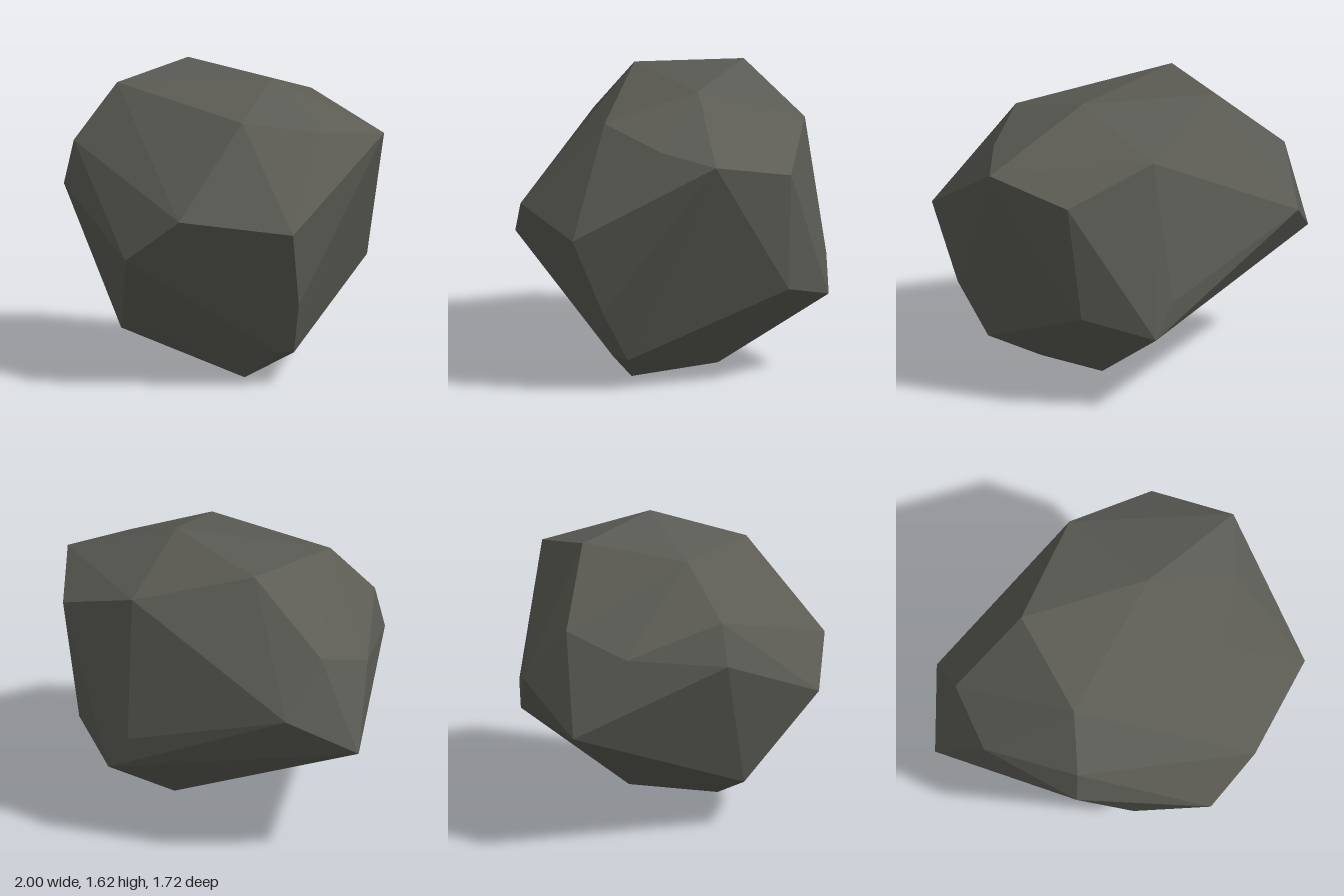
import * as THREE from 'three';
import { ConvexGeometry } from 'three/addons/geometries/ConvexGeometry.js';

export function createModel() {
  const group = new THREE.Group();
  group.name = 'boulder';

  const stone = new THREE.MeshStandardMaterial({ color: 0x5c5c55 });
  stone.name = 'darkStone';
  stone.flatShading = true;

  // Corners of the chipped rock, grouped by region
  const crown = [
    [-0.46, 1.57, 0.19], [-0.35, 1.615, -0.41], [0.34, 1.615, -0.14],
    [0.44, 1.465, 0.38], [0.78, 1.39, 0.08], [1, 1.36, -0.22], [0.25, 1.445, -0.73],
  ];
  const frontFace = [
    [0.87, 0.91, 0.57], [0.3, 0.975, 0.84], [-0.03, 0.73, 0.86],
    [-0.65, 1.03, 0.45], [-0.61, 1.27, 0.41],
  ];
  const flanks = [
    [-0.88, 1.11, -0.08], [-0.8, 1.24, -0.43], [-1, 0.68, -0.36],
    [0.76, 1.25, -0.64], [0.79, 1.27, -0.57], [0.81, 0.48, 0.4],
  ];
  const backFace = [
    [-0.73, 0.935, -0.68], [0.2, 0.65, -0.85], [0.32, 0.45, -0.86], [0.66, 0.57, -0.63],
  ];
  const underside = [
    [-0.27, 0.26, 0.48], [-0.03, 0.295, 0.52], [0.64, 0.19, 0.34],
    [0.7, 0.18, 0.26], [0.37, 0, 0.23], [0.28, 0.05, -0.25],
  ];

  // The facets are the hull around those corners
  const corners = [crown, frontFace, flanks, backFace, underside].flat()
    .map((p) => new THREE.Vector3(...p));
  const rock = new THREE.Mesh(new ConvexGeometry(corners), stone);
  rock.name = 'rock';
  group.add(rock);
  return group;
}
